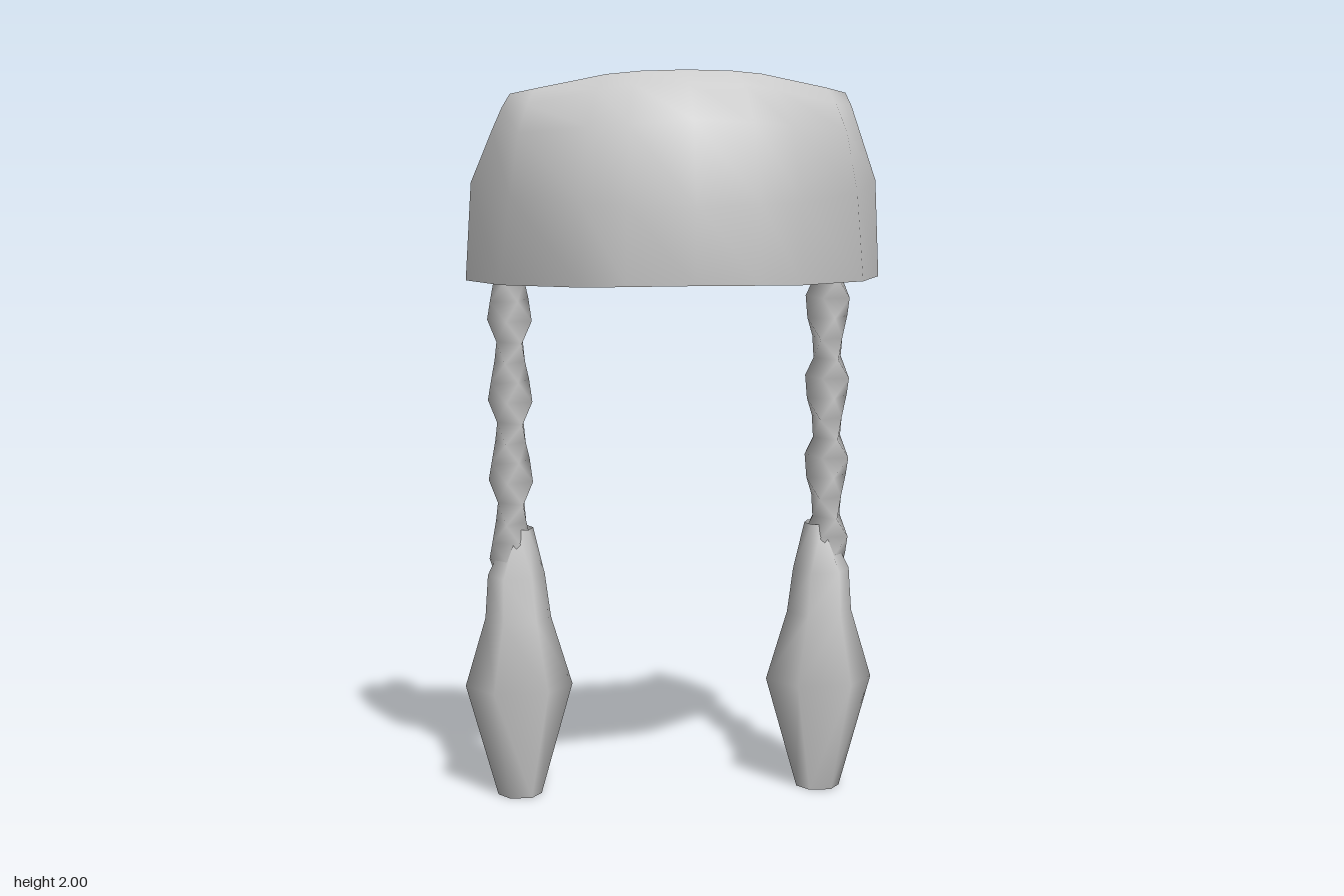
import * as THREE from 'three';

const material = new THREE.MeshStandardMaterial({ color: 0xcccccc, side: THREE.DoubleSide });

// Smooth surface through rows of points; closed joins each row's end to its start.
function surface(name, rows, closed) {
  const n = rows[0].length, index = [];
  for (let j = 0; j < rows.length - 1; j++) {
    for (let i = 0; i < (closed ? n : n - 1); i++) {
      const a = j * n + i, b = j * n + (i + 1) % n;
      index.push(a, a + n, b, b, a + n, b + n);
    }
  }
  const geometry = new THREE.BufferGeometry();
  geometry.setAttribute('position', new THREE.Float32BufferAttribute(rows.flat(2), 3));
  geometry.setIndex(index);
  geometry.computeVertexNormals();
  const mesh = new THREE.Mesh(geometry, material);
  mesh.name = name;
  return mesh;
}

// Sheet from half its columns (centre first, each running top to bottom), mirrored in x.
function mirroredSheet(name, half) {
  const left = half.slice(1).reverse().map(c => c.map(([x, y, z]) => [-x, y, z]));
  return surface(name, [...left, ...half].map(c => c.slice().reverse()), false);
}

// Horizontal ring of points
function ring(sides, cx, y, cz, rx, rz) {
  return Array.from({ length: sides }, (_, i) => {
    const a = i / sides * Math.PI * 2;
    return [cx + rx * Math.cos(a), y, cz + rz * Math.sin(a)];
  });
}

// Flattened four-sided strand, turning half a revolution every 0.22 units
function braid() {
  const rows = [], step = 0.055;
  for (let k = 0; k <= 19; k++) {
    const y = 0.605 + k * step;
    const turn = Math.PI / 2 + (y - 1.45) / 0.22 * Math.PI;
    const taper = y > 1.6 ? 0.75 : 1;
    rows.push([0, 1, 2, 3].map(i => {
      const a = i * Math.PI / 2;
      const u = Math.cos(a) * 0.088 * taper, v = Math.sin(a) * 0.06 * taper;
      return [
        0.435 + 0.7 * (u * Math.cos(turn) - v * Math.sin(turn)),
        y,
        -0.265 + u * Math.sin(turn) + v * Math.cos(turn),
      ];
    }));
  }
  return surface('braid', rows, true);
}

// Hexagonal tuft of loose hair below the braid, leaning inward at its top
function tuft() {
  const group = new THREE.Group();
  group.name = 'tuft';
  const rows = [
    [0.417, 0, 0.06, 0.056],
    [0.417, 0.31, 0.147, 0.13],
    [0.418, 0.5, 0.09, 0.108],
    [0.422, 0.62, 0.078, 0.09],
    [0.405, 0.75, 0.03, 0.045],
  ].map(([x, y, rx, rz]) => ring(6, x, y, -0.265, rx, rz));
  group.add(surface('tuftSides', rows, true));

  const base = new THREE.Mesh(new THREE.CircleGeometry(1, 6), material);
  base.name = 'tuftBase';
  base.scale.set(0.06, 0.056, 1);
  base.rotation.x = Math.PI / 2;
  base.position.set(0.417, 0, -0.265);
  group.add(base);
  return group;
}

export function createModel() {
  const model = new THREE.Group();
  model.name = 'braidedHair';

  // Fringe: outer layer
  model.add(mirroredSheet('fringeOuter', [
    [[0, 2, 0.14], [0, 1.97, 0.22], [0, 1.88, 0.33], [0, 1.67, 0.395], [0, 1.47, 0.38]],
    [[0.115, 1.997, 0.14], [0.14, 1.965, 0.2], [0.16, 1.87, 0.29], [0.17, 1.67, 0.338], [0.17, 1.464, 0.325]],
    [[0.2, 1.988, 0.1], [0.23, 1.95, 0.16], [0.26, 1.86, 0.245], [0.28, 1.67, 0.3], [0.28, 1.46, 0.285]],
    [[0.38, 1.95, 0.035], [0.4, 1.91, 0.06], [0.425, 1.84, 0.09], [0.45, 1.68, 0.115], [0.475, 1.448, 0.07]],
    [[0.44, 1.935, -0.03], [0.46, 1.9, -0.05], [0.485, 1.84, -0.08], [0.54, 1.7, -0.13], [0.555, 1.44, -0.155]],
  ]));

  // Fringe: inner layer, shorter at the front and longer at the sides
  model.add(mirroredSheet('fringeInner', [
    [[0, 2, 0.14], [0, 1.86, 0.28], [0, 1.68, 0.355], [0, 1.525, 0.35]],
    [[0.2, 1.988, 0.1], [0.23, 1.84, 0.2], [0.25, 1.68, 0.26], [0.255, 1.515, 0.25]],
    [[0.38, 1.95, 0.035], [0.4, 1.83, 0.06], [0.42, 1.69, 0.08], [0.44, 1.49, 0.04]],
    [[0.44, 1.935, -0.03], [0.465, 1.84, -0.105], [0.495, 1.74, -0.18], [0.53, 1.43, -0.26]],
  ]));

  // Braid and tuft on each side
  for (const side of [1, -1]) {
    const tail = new THREE.Group();
    tail.name = side > 0 ? 'leftBraid' : 'rightBraid';
    tail.add(braid(), tuft());
    tail.scale.x = side;
    model.add(tail);
  }
  return model;
}
